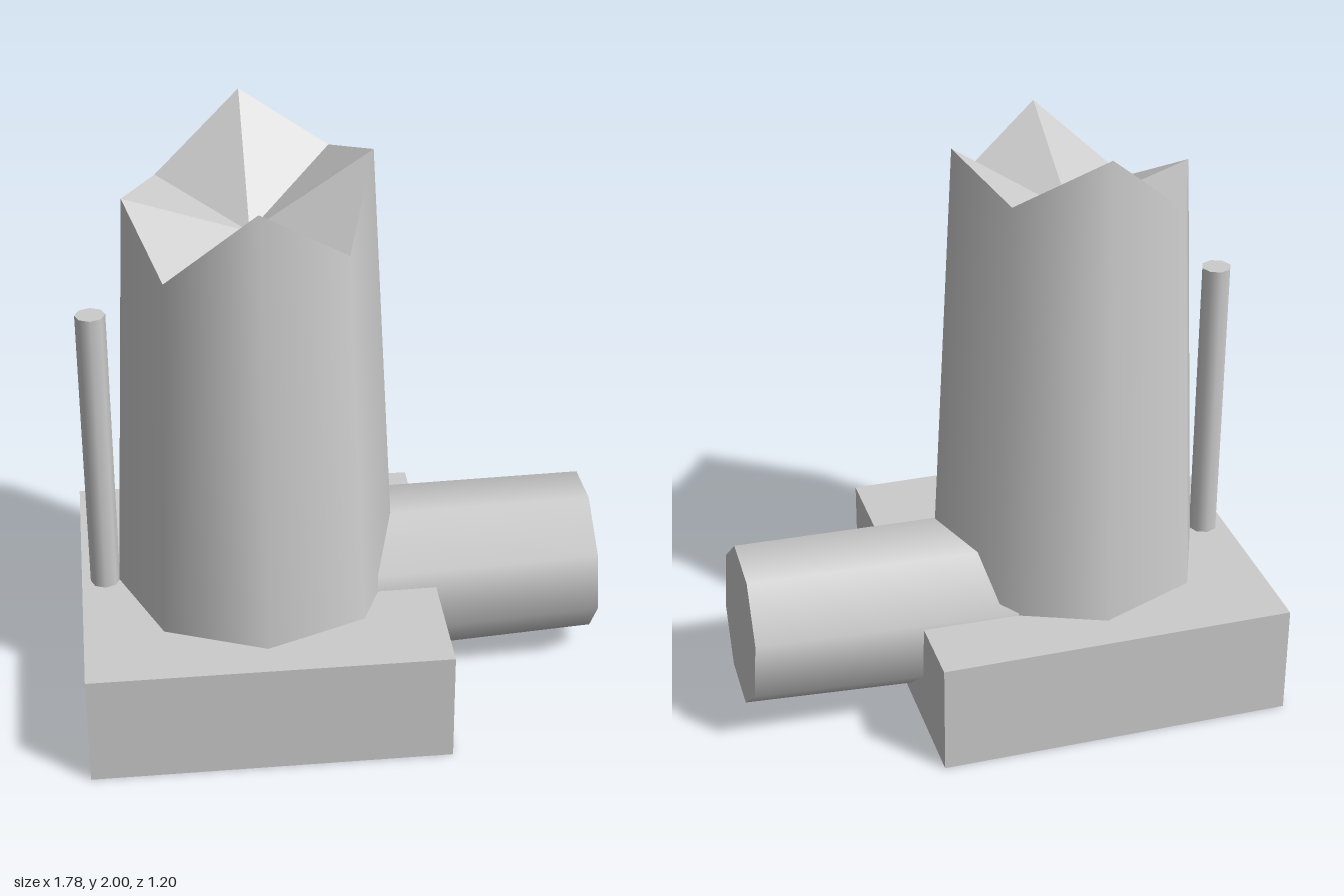
import * as THREE from 'three';

const STONE = new THREE.MeshStandardMaterial({ color: 0xcccccc });
STONE.name = 'lightGrey';

export function createModel() {
  const group = new THREE.Group();
  group.name = 'brokenColumn';
  const add = (name, geometry, x, y, z) => {
    const mesh = new THREE.Mesh(geometry, STONE);
    mesh.name = name;
    mesh.position.set(x, y, z);
    group.add(mesh);
    return mesh;
  };

  // Square base block
  add('base', new THREE.BoxGeometry(1.2, 0.385, 1.2), -0.29, 0.1925, 0);

  // Tapered eight-sided trunk; each upper corner is cut at its own height
  const rim = [1.9, 1.7, 1.93, 1.835, 2.0, 1.755, 1.8, 1.635];
  const bottom = 0.3;
  const radiusAt = (y) => 0.473 - (y - 0.385) * 0.05;
  const corner = (k) => {
    const y = rim[k % 8], r = radiusAt(y), a = (k * Math.PI) / 4;
    return new THREE.Vector3(Math.sin(a) * r, y, Math.cos(a) * r);
  };
  const trunk = new THREE.CylinderGeometry(radiusAt(2), radiusAt(bottom), 1, 8, 1, true);
  const pos = trunk.attributes.position;
  for (let i = 0; i < pos.count; i++) {
    if (pos.getY(i) > 0) {
      const c = corner(i % 9);
      pos.setXYZ(i, c.x, c.y, c.z);
    } else {
      pos.setY(i, bottom);
    }
  }
  add('trunk', trunk, -0.29, 0, 0);

  // Jagged broken top: a fan of flat facets sinking to the middle
  const points = [];
  for (let k = 0; k < 8; k++) {
    points.push(new THREE.Vector3(0, 1.667, 0), corner(k), corner(k + 1));
  }
  const broken = new THREE.BufferGeometry().setFromPoints(points);
  broken.computeVertexNormals();
  add('brokenTop', broken, -0.29, 0, 0);

  // Slightly tilted side stub, its inner end buried in the trunk
  const length = 1.02;
  const stub = new THREE.CylinderGeometry(0.273, 0.293, length, 8, 1, false,
    THREE.MathUtils.degToRad(17.7 - 90));
  stub.translate(0, -length / 2, 0);
  stub.rotateZ(-Math.PI / 2 + 0.04);
  add('sideStub', stub, 0.875, 0.34, -0.083);

  // Thin upright post
  add('post', new THREE.CylinderGeometry(0.05, 0.05, 1.1, 8), -0.81, 0.85, 0);

  return group;
}
